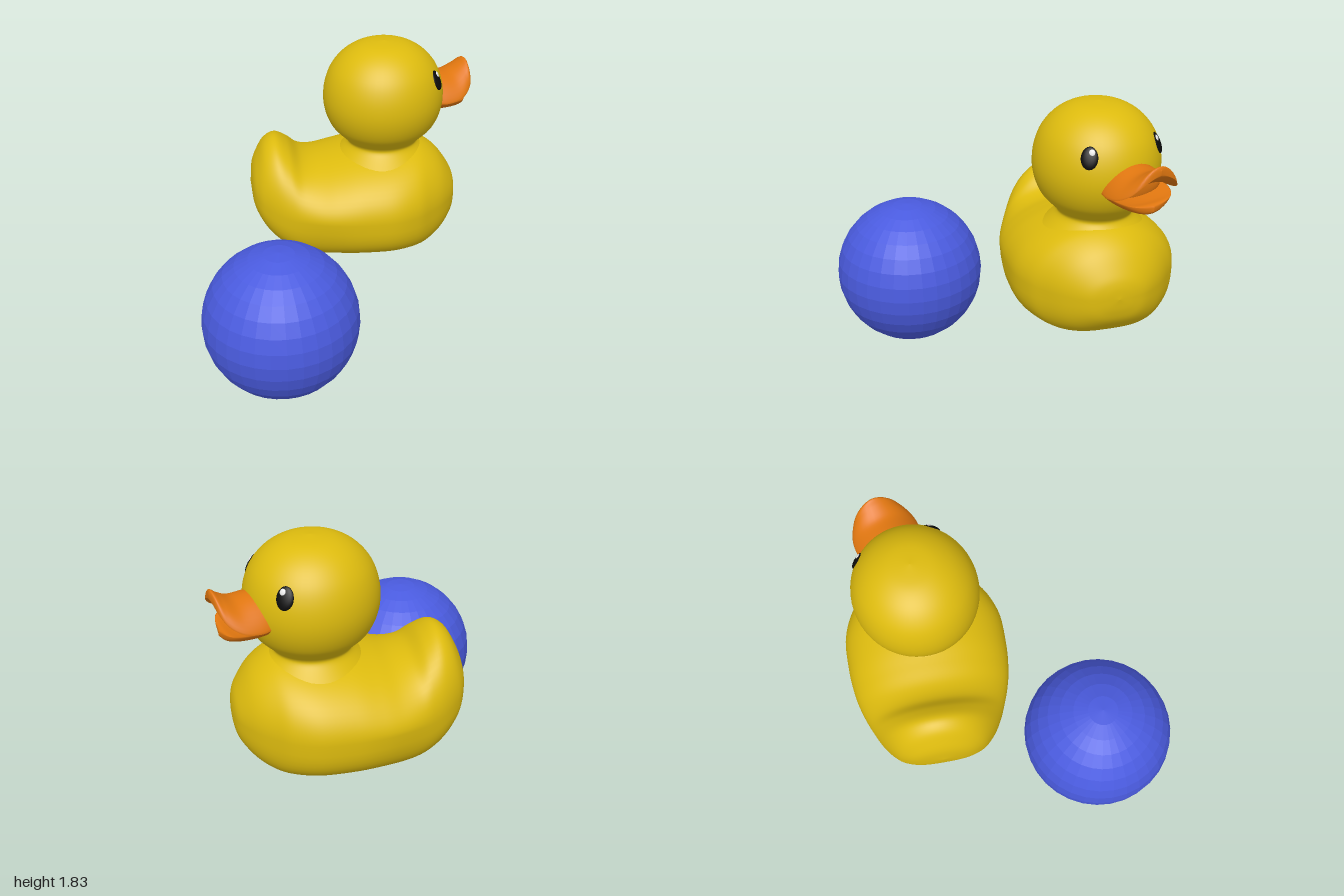
import * as THREE from 'three';

const mat = (name, color, extra = {}) => {
  const m = new THREE.MeshStandardMaterial({ color, ...extra });
  m.name = name;
  return m;
};

// Smooth skin through cross-sections along x. Each station is [x, halfWidth, top, bottom, mid];
// shape(angle, section) returns [y, z] on the ring.
function loft(stations, shape, rows, cols) {
  const a = new THREE.CatmullRomCurve3(stations.map(s => new THREE.Vector3(s[0], s[1], s[2])), false, 'catmullrom', 0.5);
  const b = new THREE.CatmullRomCurve3(stations.map(s => new THREE.Vector3(s[3], s[4], 0)), false, 'catmullrom', 0.5);
  const pos = [], index = [];
  for (let i = 0; i <= rows; i++) {
    const p = a.getPoint(i / rows), q = b.getPoint(i / rows);
    const section = { x: p.x, w: Math.max(0, p.y), top: p.z, bottom: q.x, mid: q.y };
    for (let j = 0; j < cols; j++) {
      const [y, z] = shape(j / cols * Math.PI * 2, section);
      pos.push(p.x, y, z);
      if (i === rows) continue;
      const c = i * cols + j, d = i * cols + (j + 1) % cols;
      index.push(c, c + cols, d, d, c + cols, d + cols);
    }
  }
  const g = new THREE.BufferGeometry();
  g.setAttribute('position', new THREE.Float32BufferAttribute(pos, 3));
  g.setIndex(index);
  g.computeVertexNormals();
  return g;
}

// Round back, squarer belly cut flat at the base, gentle wing swell on the flanks
function bodyRing(a, s) {
  const c = Math.cos(a), t = Math.sin(a);
  const e = t > 0 ? 1 : 2 / 3;
  const y = t > 0 ? s.mid + (s.top - s.mid) * t : s.mid - (s.mid - s.bottom) * Math.pow(-t, e);
  const wing = 0.015 * Math.exp(-(((s.x + 0.1) / 0.2) ** 2) - ((y - 0.8) / 0.13) ** 2);
  return [Math.max(y, 0.465), Math.sign(c) * (s.w * Math.pow(Math.abs(c), e) + wing * Math.abs(c))];
}

// Arched blade: both faces rise or fall from the side edges
function billRing(a, s) {
  const t = Math.sin(a);
  const h = (t > 0 ? s.top : s.bottom) - s.mid;
  return [s.mid + h * Math.pow(Math.abs(t), 1.5) + 0.01 * t, s.w * Math.cos(a)];
}

export function createModel() {
  const yellow = mat('yellow', 0xddbb0e);
  const orange = mat('orange', 0xe0760f, { side: THREE.DoubleSide });
  const black = mat('black', 0x0c0c0c);
  const white = mat('white', 0xf0f0f0);
  const blue = mat('blue', 0x4a5bdf, { flatShading: true });

  const root = new THREE.Group();
  const add = (parent, name, geometry, material) => {
    const m = new THREE.Mesh(geometry, material);
    m.name = name;
    parent.add(m);
    return m;
  };

  // Ball
  add(root, 'ball', new THREE.SphereGeometry(0.478, 32, 16), blue).position.set(-0.435, 0.478, 0.52);

  const duck = new THREE.Group();
  duck.name = 'duck';
  duck.position.z = -0.49;
  root.add(duck);

  // Body with upturned tail
  add(duck, 'body', loft([
    [-0.55, 0, 0.88, 0.88, 0.88],
    [-0.535, 0.16, 1.0, 0.76, 0.88],
    [-0.5, 0.25, 1.09, 0.68, 0.85],
    [-0.45, 0.305, 1.17, 0.6, 0.83],
    [-0.38, 0.355, 1.203, 0.53, 0.8],
    [-0.3, 0.395, 1.16, 0.48, 0.78],
    [-0.22, 0.425, 1.085, 0.45, 0.78],
    [-0.12, 0.455, 1.06, 0.44, 0.78],
    [0, 0.485, 1.08, 0.44, 0.78],
    [0.15, 0.508, 1.11, 0.44, 0.78],
    [0.35, 0.508, 1.13, 0.44, 0.78],
    [0.5, 0.46, 1.135, 0.445, 0.78],
    [0.6, 0.39, 1.11, 0.46, 0.78],
    [0.7, 0.3, 1.04, 0.52, 0.78],
    [0.78, 0.19, 0.93, 0.61, 0.78],
    [0.81, 0.1, 0.86, 0.69, 0.78],
    [0.82, 0, 0.78, 0.78, 0.78],
  ], bodyRing, 96, 64), yellow);

  // Head, turned a little to its right
  const head = new THREE.Group();
  head.name = 'headGroup';
  head.position.x = 0.33;
  head.rotation.y = 0.28;
  duck.add(head);

  const profile = new THREE.SplineCurve([
    [0.36, 1.02], [0.28, 1.09], [0.238, 1.135], [0.237, 1.165], [0.275, 1.205], [0.335, 1.27], [0.375, 1.36],
    [0.389, 1.46], [0.374, 1.57], [0.33, 1.67], [0.25, 1.755], [0.14, 1.81], [0, 1.828],
  ].map(p => new THREE.Vector2(...p))).getPoints(60);
  profile[profile.length - 1].x = 0;
  add(head, 'head', new THREE.LatheGeometry(profile, 56), yellow).scale.z = 0.965;

  // Open bill
  add(head, 'upperBill', loft([
    [0.3, 0.19, 1.56, 1.44, 1.41],
    [0.38, 0.205, 1.55, 1.47, 1.405],
    [0.47, 0.2, 1.545, 1.49, 1.42],
    [0.54, 0.165, 1.58, 1.525, 1.46],
    [0.58, 0.11, 1.61, 1.56, 1.52],
    [0.595, 0, 1.59, 1.58, 1.585],
  ], billRing, 32, 36), orange);
  add(head, 'lowerBill', loft([
    [0.3, 0.19, 1.38, 1.33, 1.41],
    [0.4, 0.2, 1.37, 1.325, 1.41],
    [0.48, 0.175, 1.365, 1.325, 1.4],
    [0.53, 0.12, 1.37, 1.33, 1.385],
    [0.555, 0, 1.36, 1.35, 1.355],
  ], billRing, 28, 36), orange);
  const throat = add(head, 'throat', new THREE.SphereGeometry(1, 28, 16), orange);
  throat.position.set(0.385, 1.43, 0);
  throat.scale.set(0.03, 0.085, 0.17);

  // Eyes with highlights
  for (const side of [1, -1]) {
    const turn = new THREE.Group();
    turn.name = side > 0 ? 'rightEye' : 'leftEye';
    turn.rotation.y = -side * 0.74;
    head.add(turn);
    const tilt = new THREE.Group();
    tilt.position.set(0.35, 1.605, 0);
    tilt.rotation.z = 0.42;
    turn.add(tilt);
    add(tilt, 'pupil', new THREE.SphereGeometry(1, 24, 16), black).scale.set(0.018, 0.066, 0.05);
    const glint = add(tilt, 'glint', new THREE.SphereGeometry(1, 16, 10), white);
    glint.position.set(0.013, 0.03, -side * 0.012);
    glint.scale.set(0.007, 0.02, 0.018);
  }
  return root;
}
